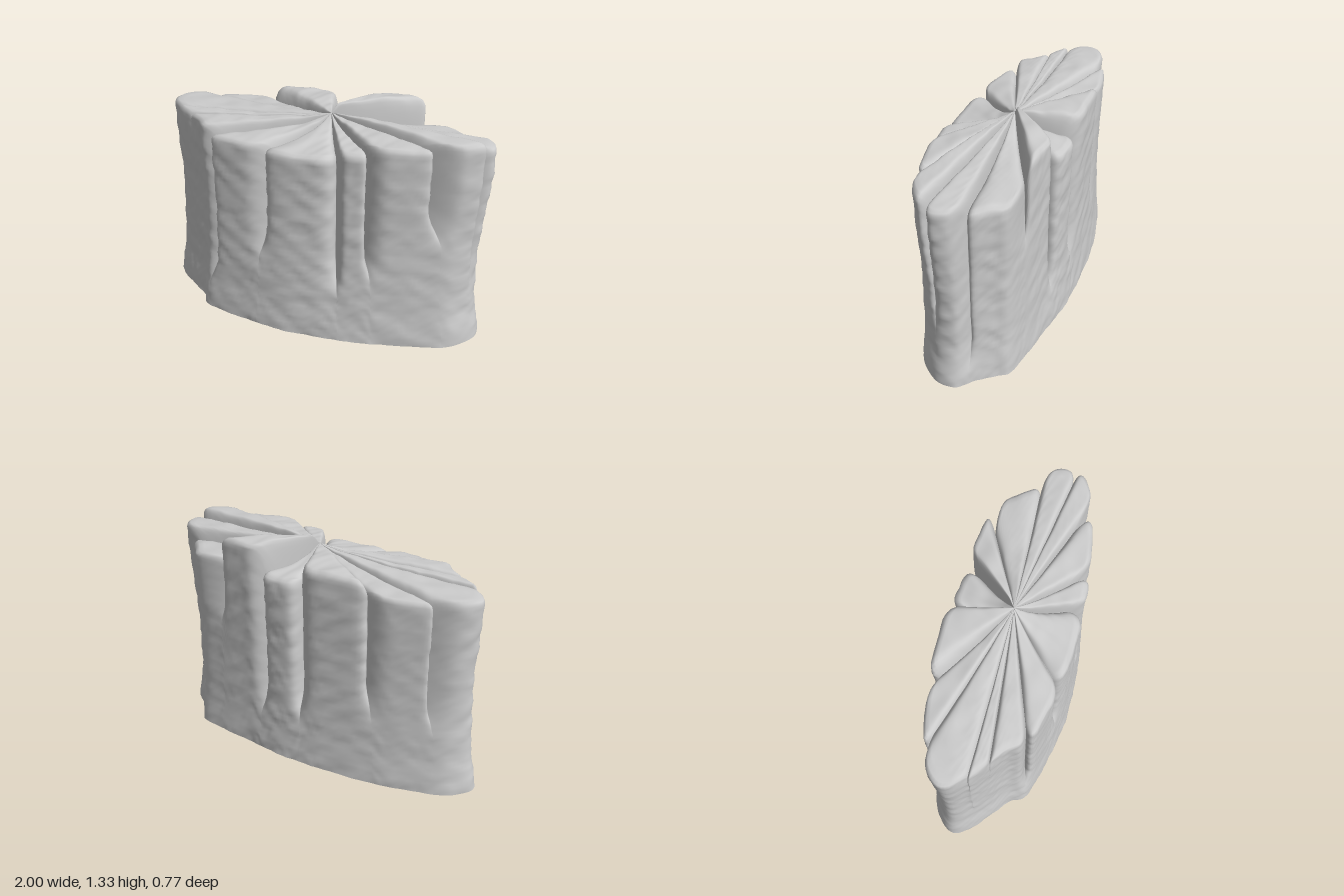
import * as THREE from 'three';

const CX = 0.06, CZ = -0.02;      // point where all the top wedges meet
const PEAK = 1.265;               // its height
const PER = 24;                   // samples across one column
const WALL = 52, TOP = 26;        // rows up the wall and in across the top

// Footprint of the block (x, z), stepped in at two opposite corners
const FOOT = [[0.96, 0.07], [0.985, -0.01], [0.97, -0.09], [0.87, -0.18], [0.81, -0.25], [0.76, -0.31],
  [0.62, -0.335], [0.4, -0.355], [0.1, -0.38], [-0.4, -0.34], [-0.72, -0.265], [-0.92, -0.18],
  [-1, -0.07], [-0.94, 0.035], [-0.82, 0.125], [-0.7, 0.21], [-0.635, 0.295], [-0.52, 0.33],
  [-0.08, 0.38], [0.37, 0.33], [0.72, 0.235], [0.88, 0.165]];

// Grooves between columns: x, z at the rim, y where the groove dies out,
// and the height of the column that follows it (going from +x towards +z)
const GROOVES = [
  [0.92, 0.035, 0.3, 1.27], [0.64, 0.14, 0.64, 1.24], [0.335, 0.22, 0.38, 1.2], [0.195, 0.25, 0.26, 1.155],
  [-0.2, 0.29, 0.4, 1.17], [-0.525, 0.25, 0.15, 1.21], [-0.76, 0.13, 0.6, 1.205], [-0.87, 0.05, 0.25, 1.205],
  [-0.73, -0.2, 0.35, 1.19], [-0.4, -0.275, 0.38, 1.265], [0.01, -0.27, 0.25, 1.165], [0.22, -0.275, 0.22, 1.315],
  [0.51, -0.29, 0.72, 1.165], [0.84, -0.13, 0.05, 1.225],
];

const TAU = Math.PI * 2;
const { lerp, smoothstep } = THREE.MathUtils;
const angleOf = (x, z) => (Math.atan2(z - CZ, x - CX) + TAU) % TAU;

// Footprint as radius by angle
function makeFootRadius() {
  const curve = new THREE.CatmullRomCurve3(FOOT.map(([x, z]) => new THREE.Vector3(x, 0, z)), true);
  const polar = curve.getPoints(600).slice(0, -1)
    .map((p) => [angleOf(p.x, p.z), Math.hypot(p.x - CX, p.z - CZ)])
    .sort((a, b) => a[0] - b[0]);
  const first = polar[0], last = polar[polar.length - 1];
  polar.unshift([last[0] - TAU, last[1]]);
  polar.push([first[0] + TAU, first[1]]);
  return (angle) => {
    const a = (angle + TAU) % TAU;
    const k = polar.findIndex((p) => p[0] > a);
    const [a0, r0] = polar[k - 1], [a1, r1] = polar[k];
    return lerp(r0, r1, (a - a0) / (a1 - a0));
  };
}

// Rough stone grain
function grain(x, y, z) {
  return 0.003 * Math.sin(21 * x + 2 * Math.sin(13 * y)) * Math.sin(27 * y + 2 * Math.sin(15 * z + 9 * x))
    + 0.003 * Math.sin(24 * z + 3 * Math.sin(11 * y + 8 * x)) * Math.cos(19 * y + 12 * x)
    + 0.0025 * Math.sin(48 * x + 40 * z + 2 * Math.sin(23 * y)) * Math.sin(75 * y + 2 * Math.sin(30 * x));
}

// One entry per vertical line round the block
function makeLines() {
  const footRadius = makeFootRadius();
  const lines = [];
  const n = GROOVES.length;
  for (let i = 0; i < n; i++) {
    const here = GROOVES[i], next = GROOVES[(i + 1) % n], before = GROOVES[(i + n - 1) % n];
    const a0 = angleOf(here[0], here[1]);
    let a1 = angleOf(next[0], next[1]);
    if (a1 < a0) a1 += TAU;
    for (let k = 0; k < PER; k++) {
      const t = 0.5 - 0.5 * Math.cos((Math.PI * k) / PER);
      const near = t < 0.5 ? here : next;
      const neighbour = t < 0.5 ? before : next;
      const edge = Math.abs(2 * t - 1);
      const angle = lerp(a0, a1, t);
      lines.push({
        angle,
        foot: footRadius(angle),
        groove: Math.hypot(near[0] - CX, near[1] - CZ),
        cut: edge ** 5,
        fade: near[2],
        tall: here[3] > PEAK,
        height: lerp(here[3], Math.min(here[3], neighbour[3]) - 0.03, edge ** 9),
      });
    }
  }
  return lines;
}

// Wall radius of a line at height y: flared foot, slight waist, front leaning
// back, right end swelling towards the top, grooves opening upward
function wallRadius(line, y) {
  const front = Math.max(0, Math.sin(line.angle)) * smoothstep(y, 0.2, 1.15);
  const end = Math.max(0, Math.cos(line.angle - 0.03)) ** 50 * smoothstep(y, 0.2, 1.1);
  const plain = line.foot * (0.958 + 0.03 * (1 - smoothstep(y, 0, 0.25)) + 0.012 * Math.cos(5 * y)
    - 0.04 * front + 0.05 * end);
  const open = smoothstep(y, line.fade, line.fade + 0.28);
  return lerp(plain, Math.min(plain, line.groove), line.cut * open);
}

function blockGeometry() {
  const lines = makeLines();
  const cols = lines.length, rows = WALL + TOP;
  const pos = [], index = [];
  for (let j = 0; j <= rows; j++) {
    const onTop = j > WALL;
    for (const line of lines) {
      const rim = line.height - 0.03;
      let { height: y } = line;
      let r;
      if (!onTop) {
        y = (rim * j) / WALL;
        r = wallRadius(line, y);
      } else if (j === WALL + 1) {
        // rounded rim
        r = wallRadius(line, rim) - 0.008;
        y -= 0.012;
      } else {
        // wedge running in to the meeting point; tall ones end in a steep step
        const s = (rows - j) / (TOP - 2);
        const body = line.tall ? smoothstep(s, 0, 0.12) : 1 - (1 - s) ** 3;
        r = (wallRadius(line, rim) - 0.028) * s;
        y = lerp(PEAK, y, body) + 0.012 * Math.sin(Math.PI * s) * (1 - line.cut);
      }
      const c = Math.cos(line.angle), d = Math.sin(line.angle);
      const g = r > 0 ? grain(CX + c * r, y, CZ + d * r) : 0;
      const rr = r + (onTop ? 0 : g);
      pos.push(CX + c * rr, y + (onTop ? g : 0), CZ + d * rr);
    }
  }
  for (let j = 0; j < rows; j++) {
    for (let i = 0; i < cols; i++) {
      const a = j * cols + i, b = j * cols + ((i + 1) % cols);
      index.push(a, a + cols, b);
      if (j < rows - 1) index.push(b, a + cols, b + cols);
    }
  }
  const geo = new THREE.BufferGeometry();
  geo.setAttribute('position', new THREE.Float32BufferAttribute(pos, 3));
  geo.setIndex(index);
  geo.computeVertexNormals();
  return geo;
}

export function createModel() {
  const group = new THREE.Group();
  group.name = 'rockFormation';
  const stone = new THREE.MeshStandardMaterial({ color: 0xcccccc, side: THREE.DoubleSide });
  // Fluted stone shell, open underneath
  const block = new THREE.Mesh(blockGeometry(), stone);
  block.name = 'rockColumns';
  group.add(block);
  return group;
}
